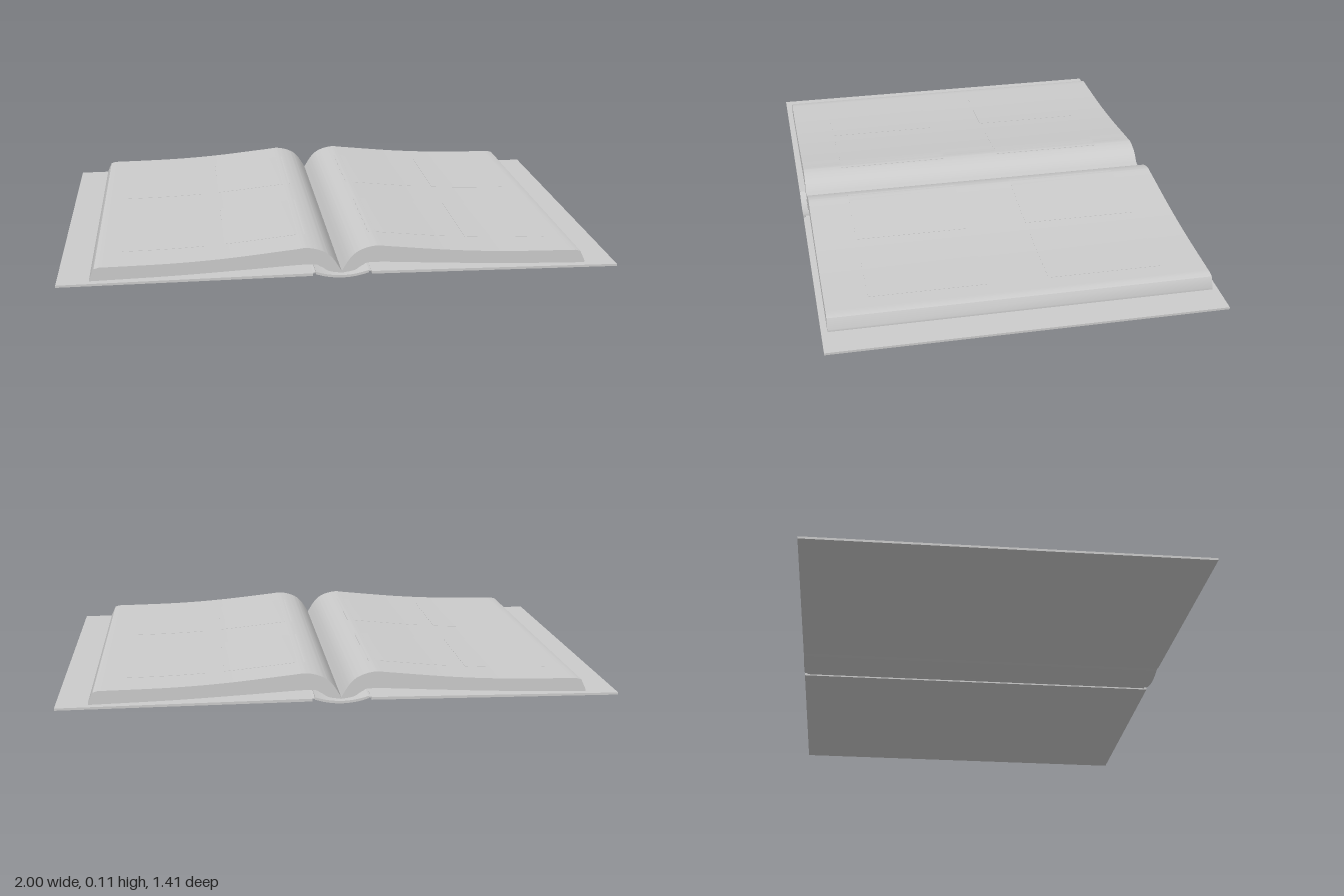
import * as THREE from 'three';
import { toCreasedNormals } from 'three/addons/utils/BufferGeometryUtils.js';

const V = (x, y) => new THREE.Vector2(x, y);
const material = new THREE.MeshStandardMaterial({ color: 0xcccccc });

// Curved upper and lower outlines of a page block, from gutter to outer edge
const pageTop = new THREE.SplineCurve([
  V(0, 0.016), V(0.03, 0.063), V(0.065, 0.092), V(0.12, 0.107), V(0.18, 0.102),
  V(0.4, 0.08), V(0.6, 0.068), V(0.85, 0.063),
]).getPoints(56);
const pageBottom = new THREE.SplineCurve([
  V(0.885, 0.014), V(0.6, 0.022), V(0.35, 0.034), V(0.12, 0.046),
  V(0.075, 0.036), V(0.045, 0.018), V(0, 0.01),
]).getPoints(36);

// Height of the page surface at x
function topY(x) {
  const i = Math.max(1, pageTop.findIndex((p) => p.x >= x));
  const a = pageTop[i - 1], b = pageTop[i];
  return THREE.MathUtils.mapLinear(x, a.x, b.x, a.y, b.y);
}

// Extrudes a side profile along z; side = -1 mirrors it to the other half
function extrude(name, points, z0, z1, side = 1) {
  const shape = new THREE.Shape(points.map((p) => V(p.x * side, p.y)));
  const geo = new THREE.ExtrudeGeometry(shape, { depth: z1 - z0, bevelEnabled: false });
  geo.translate(0, 0, z0);
  const mesh = new THREE.Mesh(toCreasedNormals(geo, 0.45), material);
  mesh.name = name;
  return mesh;
}

// Thin sheet that follows the curve of the page
function sheet(name, x0, x1, z0, z1, lift, side) {
  const upper = [], lower = [];
  for (let i = 0; i <= 8; i++) {
    const x = x0 + ((x1 - x0) * i) / 8;
    upper.push(V(x, topY(x) + lift));
    lower.unshift(V(x, topY(x) - 0.004));
  }
  return extrude(name, [...upper, ...lower], z0, z1, side);
}

export function createModel() {
  const album = new THREE.Group();
  album.name = 'openAlbum';

  for (const side of [-1, 1]) {
    const half = new THREE.Group();
    half.name = side > 0 ? 'leftHalf' : 'rightHalf';
    album.add(half);

    // Cover board, rising slightly towards the spine
    half.add(extrude('cover', [
      V(0.105, 0.01), V(1, 0.003), V(1, 0.011), V(0.105, 0.02),
    ], -0.705, 0.705, side));

    // Page block with a slanted outer edge
    half.add(extrude('pageBlock', [
      ...pageTop, V(0.868, 0.058), V(0.885, 0.022), ...pageBottom,
    ], -0.683, 0.683, side));

    // Two by two pictures lying almost flush on the page
    for (const [x0, x1] of [[0.115, 0.41], [0.475, 0.775]]) {
      for (const [z0, z1] of [[-0.53, -0.11], [0.11, 0.53]]) {
        half.add(sheet('picture', x0, x1, z0, z1, 0.0008, side));
      }
    }
  }

  // Rounded spine strip bulging below the covers
  const outer = [], inner = [];
  for (let i = 0; i <= 24; i++) {
    const x = -0.095 + (0.19 * i) / 24;
    const y = 0.016 * (x / 0.095) ** 2;
    outer.push(V(x, y));
    inner.unshift(V(x, y + 0.009));
  }
  album.add(extrude('spine', [...outer, ...inner], -0.705, 0.705));

  // Flexible hinges joining spine and covers
  for (const side of [-1, 1]) {
    album.add(extrude('hinge', [
      V(0.09, 0.017), V(0.108, 0.015), V(0.108, 0.019), V(0.09, 0.021),
    ], -0.695, 0.695, side));
  }
  return album;
}
